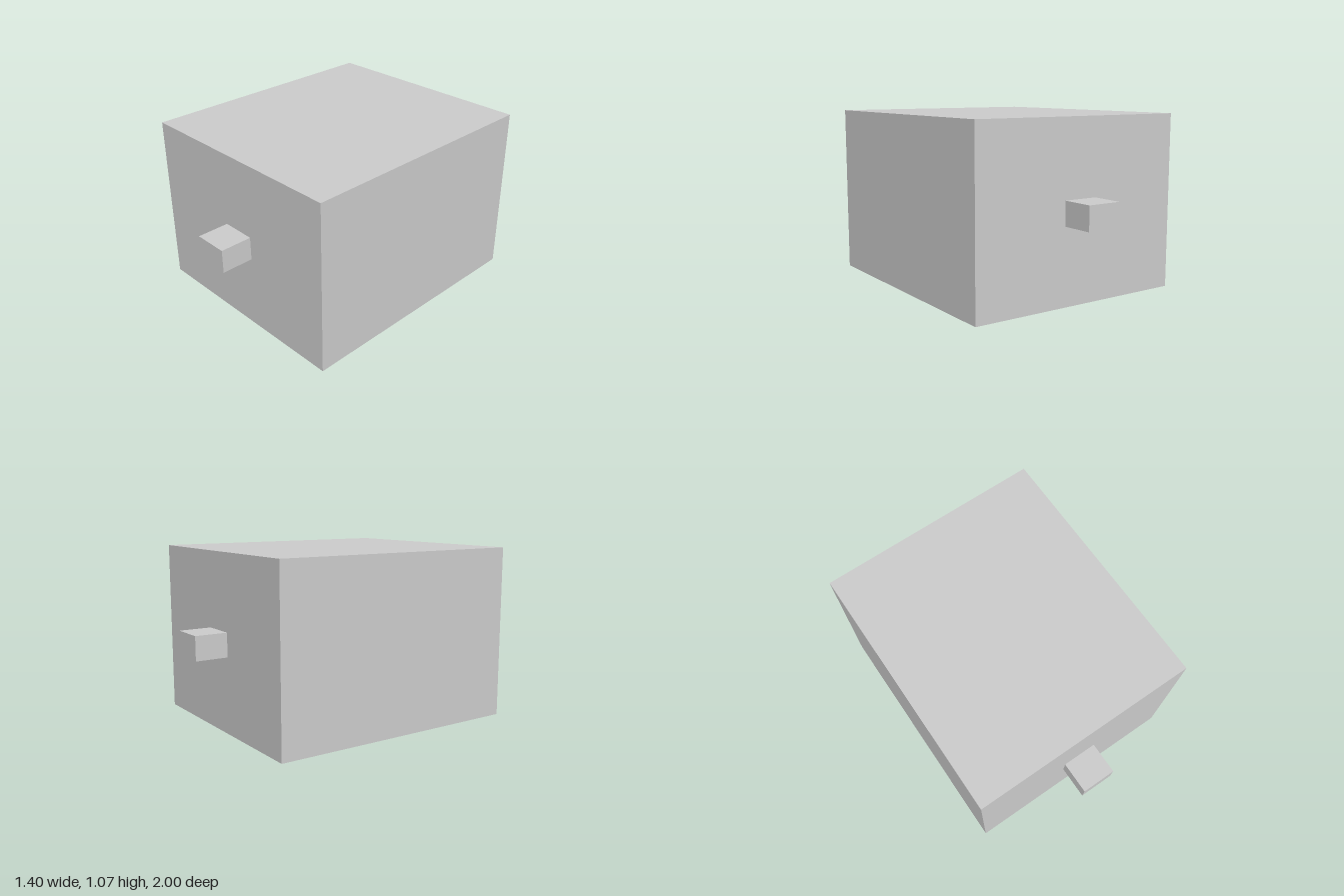
import * as THREE from 'three';

const WIDTH = 1.4, HEIGHT = 1.067, DEPTH = 1.606;
const PEG_WIDTH = 0.215, PEG_HEIGHT = 0.145, PEG_Y = 0.535, PEG_END = 1;

export function createModel() {
  const group = new THREE.Group();
  const material = new THREE.MeshStandardMaterial({ color: 0xcccccc, flatShading: true });

  const addBox = (name, w, h, d, x, y, z) => {
    const mesh = new THREE.Mesh(new THREE.BoxGeometry(w, h, d), material);
    mesh.name = name;
    mesh.position.set(x, y, z);
    group.add(mesh);
  };

  // Main block
  addBox('body', WIDTH, HEIGHT, DEPTH, 0, HEIGHT / 2, 0);

  // A peg on the front and back faces
  const pegLength = PEG_END - DEPTH / 2;
  for (const [name, side] of [['frontPeg', 1], ['backPeg', -1]]) {
    addBox(name, PEG_WIDTH, PEG_HEIGHT, pegLength, 0.002, PEG_Y, side * (PEG_END - pegLength / 2));
  }
  return group;
}
